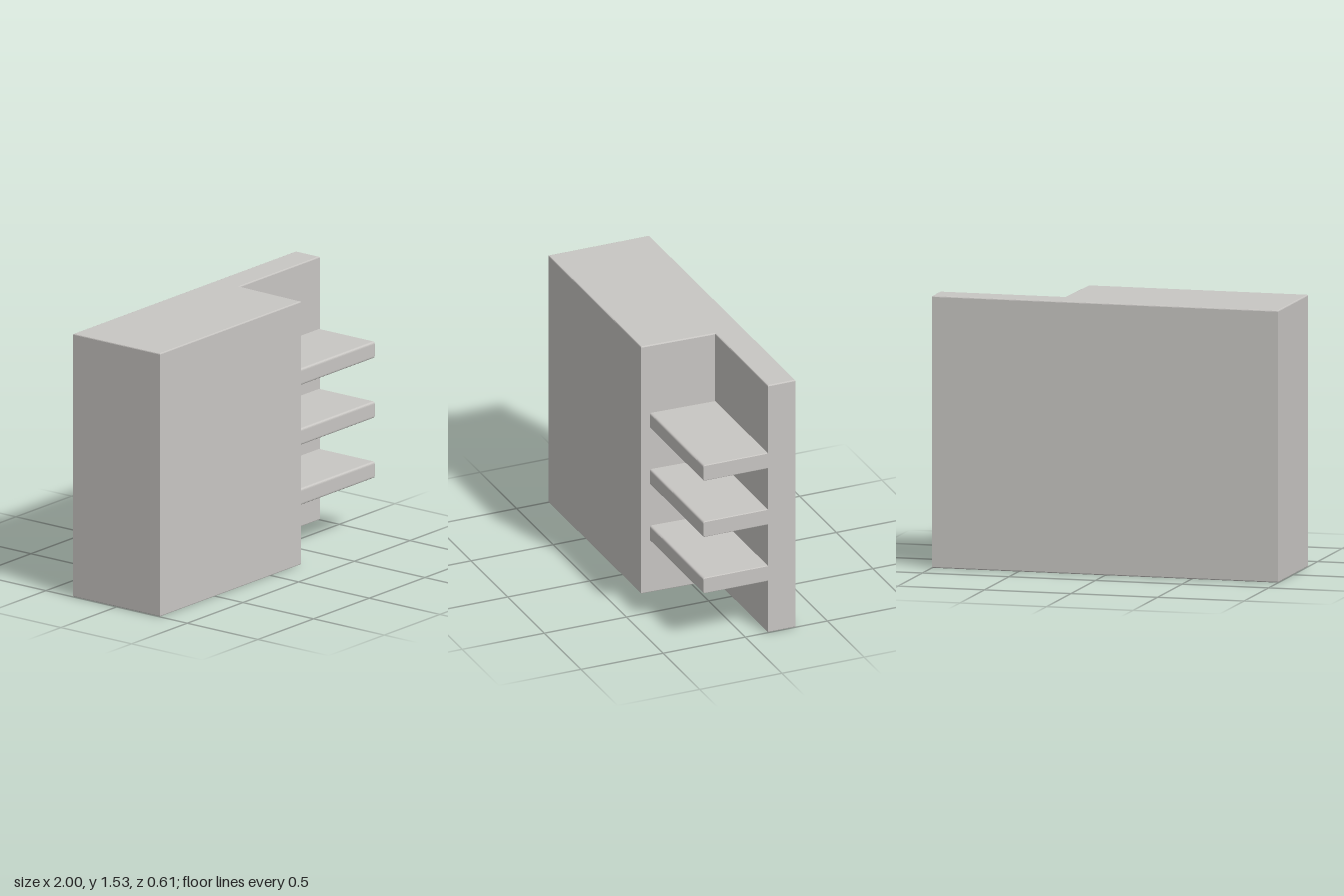
import * as THREE from 'three';

const HEIGHT = 1.53;

// Extrudes a shape so that small bevels stay inside its outline and depth
function bevelled(shape, depth, bevel) {
  const geo = new THREE.ExtrudeGeometry(shape, {
    depth: depth - 2 * bevel, bevelEnabled: true, bevelThickness: bevel,
    bevelSize: bevel, bevelOffset: -bevel, bevelSegments: 2, curveSegments: 5,
  });
  return geo.translate(0, 0, bevel);
}

export function createModel() {
  const group = new THREE.Group();
  const paint = new THREE.MeshStandardMaterial({ color: 0xc8c6c3 });
  paint.name = 'warm light grey';

  const add = (name, geometry) => {
    const mesh = new THREE.Mesh(geometry, paint);
    mesh.name = name;
    group.add(mesh);
    return mesh;
  };

  // Thick cabinet and thin back panel share one L-shaped plan (x, -z)
  const plan = new THREE.Shape([
    [-1, 0.307], [-1, -0.307], [0.268, -0.307],
    [0.28, 0.138], [1, 0.138], [1, 0.307],
  ].map(([x, y]) => new THREE.Vector2(x, y)));
  add('cabinetAndBackPanel', bevelled(plan, HEIGHT, 0.006).rotateX(-Math.PI / 2));

  // Shelf side profile (-z, y) with softened front edges
  const front = -0.255, back = 0.15, h = 0.096, r = 0.014;
  const profile = new THREE.Shape();
  profile.moveTo(back, 0);
  profile.lineTo(back, h);
  profile.lineTo(front + r, h);
  profile.quadraticCurveTo(front, h, front, h - r);
  profile.lineTo(front, r);
  profile.quadraticCurveTo(front, 0, front + r, 0);
  profile.closePath();
  const shelf = bevelled(profile, 0.738, 0.004).rotateY(Math.PI / 2);

  // Three evenly spaced shelves beside the cabinet
  [0.318, 0.667, 1.015].forEach((y, i) => {
    add(`shelf${i + 1}`, shelf).position.set(0.26, y, 0);
  });

  return group;
}
